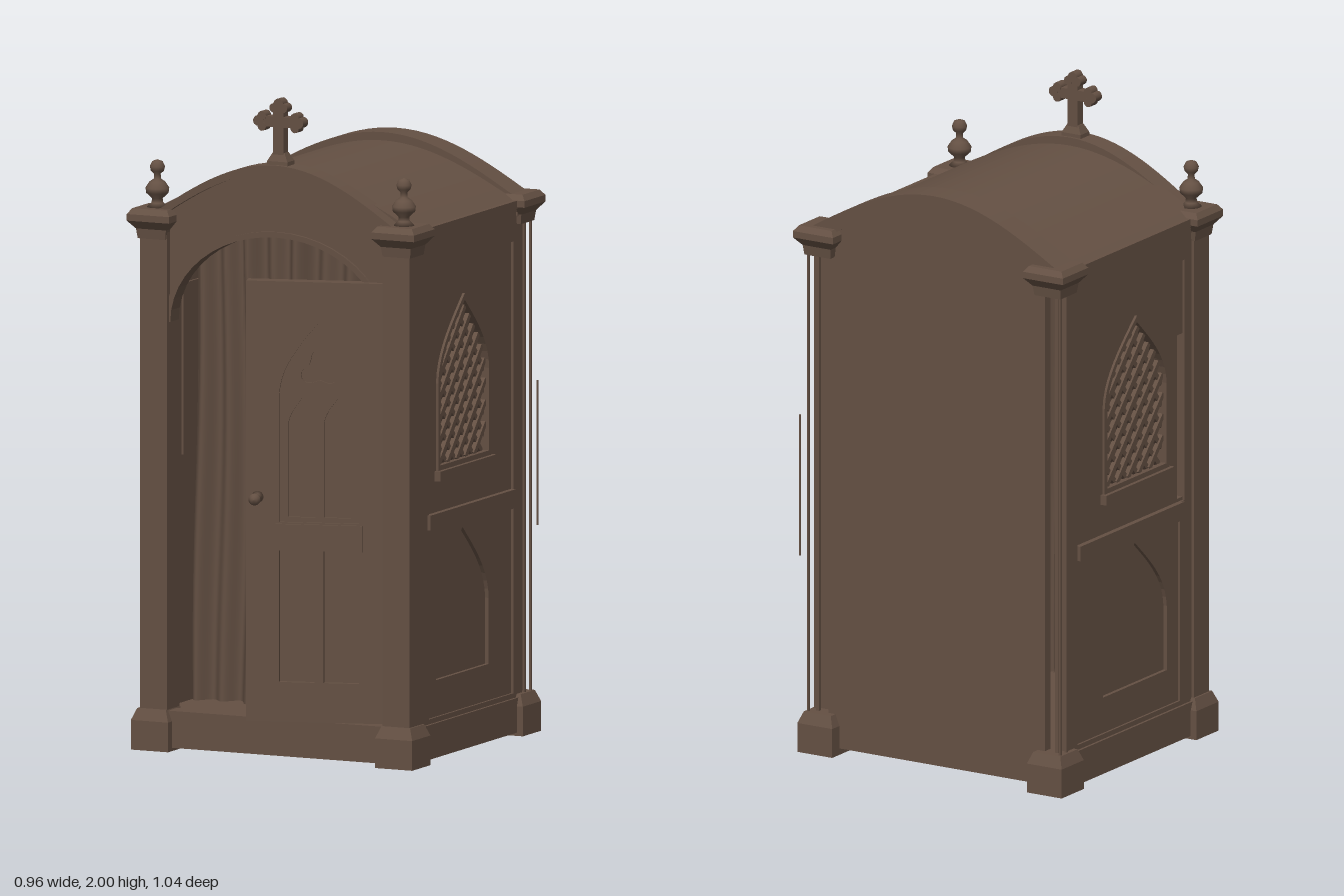
import * as THREE from 'three';

const wood = new THREE.MeshStandardMaterial({ color: 0x645043 });
wood.name = 'brown wood';
const cloth = wood.clone();
cloth.name = 'brown cloth';
cloth.side = THREE.DoubleSide;

function add(parent, name, geo, x = 0, y = 0, z = 0, mat = wood) {
  const m = new THREE.Mesh(geo, mat);
  m.name = name;
  m.position.set(x, y, z);
  parent.add(m);
  return m;
}
// box given by its min and max on each axis
function box(parent, name, x0, x1, y0, y1, z0, z1) {
  return add(parent, name, new THREE.BoxGeometry(x1 - x0, y1 - y0, z1 - z0),
    (x0 + x1) / 2, (y0 + y1) / 2, (z0 + z1) / 2);
}
const shapeOf = (pts, C = THREE.Shape) => new C(pts.map(p => new THREE.Vector2(p[0], p[1])));
const extrude = (shape, depth, bevel = 0) => new THREE.ExtrudeGeometry(shape, {
  depth, bevelEnabled: bevel > 0, bevelSize: bevel, bevelThickness: bevel, bevelSegments: 1, curveSegments: 12,
});
const rect = (x0, x1, y0, y1) => [[x0, y0], [x1, y0], [x1, y1], [x0, y1]];

// pointed arch outline
function lancet(cx, w, y0, spring, top) {
  const half = [];
  for (let i = 0; i <= 10; i++) {
    const t = i / 10;
    half.push([w * Math.cos(t * Math.PI / 2) * (1 - 0.12 * t), spring + (top - spring) * Math.pow(t, 0.92)]);
  }
  const left = half.slice(0, -1).reverse().map(p => [cx - p[0], p[1]]);
  return [[cx - w, y0], [cx + w, y0], ...half.map(p => [cx + p[0], p[1]]), ...left];
}
// curve of the vaulted top
function vault(w, base, rise, n = 28) {
  const pts = [];
  for (let i = 0; i <= n; i++) {
    const x = w - 2 * w * i / n;
    pts.push([x, base + rise * Math.cos(Math.PI / 2 * x / w)]);
  }
  return pts;
}
const band = (w, base, rise, t) => shapeOf([...vault(w, base, rise), ...vault(w, base - t, rise).reverse()]);
// square profile flaring from one half width to another
function flare(sections) {
  const g = new THREE.LatheGeometry(sections.map(p => new THREE.Vector2(p[0] * Math.SQRT2, p[1])), 4);
  g.rotateY(Math.PI / 4);
  const flat = g.toNonIndexed();
  flat.computeVertexNormals();
  return flat;
}

function sideWall(s) {
  const g = new THREE.Group();
  g.name = s > 0 ? 'leftSide' : 'rightSide';
  // outlines use u along the wall; extrusion runs outwards to x
  const panel = (name, shape, from, depth) => {
    const geo = extrude(shape, depth);
    geo.rotateY(s * Math.PI / 2);
    return add(g, name, geo, s * from, 0, 0);
  };
  const U = (z0, z1) => [Math.min(-s * z0, -s * z1), Math.max(-s * z0, -s * z1)];
  const R = (z0, z1, y0, y1) => rect(...U(z0, z1), y0, y1);
  const c = s * 0.04;

  const wall = shapeOf(R(0.3, -0.43, 0.08, 1.6));
  wall.holes.push(shapeOf(lancet(c, 0.17, 0.885, 1.14, 1.375), THREE.Path));
  wall.holes.push(shapeOf(lancet(c, 0.178, 0.24, 0.44, 0.68), THREE.Path));
  if (s < 0) wall.holes.push(shapeOf(R(0.195, 0.225, 0.76, 1.27), THREE.Path));
  panel('sideWall', wall, 0.405, 0.03);
  panel('lowerArchPanel', shapeOf(R(0.16, -0.26, 0.2, 0.7)), 0.405, 0.018);
  panel('windowBack', shapeOf(R(0.16, -0.26, 0.87, 1.39)), 0.398, 0.008);

  // raised frame with an upper and a lower field
  const frame = shapeOf(R(0.3, -0.43, 0.1, 1.58));
  frame.holes.push(shapeOf(R(0.2, -0.37, 0.13, 0.69), THREE.Path));
  frame.holes.push(shapeOf(R(s < 0 ? 0.225 : 0.2, -0.37, 0.75, 1.5), THREE.Path));
  panel('sideFrame', frame, 0.43, 0.012);
  panel('middleRail', shapeOf(R(0.21, -0.37, 0.705, 0.75)), 0.43, 0.022);
  panel('windowSill', shapeOf(R(0.15, -0.23, 0.845, 0.875)), 0.43, 0.025);

  // window moulding
  const rim = shapeOf(lancet(c, 0.18, 0.875, 1.14, 1.39));
  rim.holes.push(shapeOf(lancet(c, 0.165, 0.89, 1.14, 1.37), THREE.Path));
  panel('windowMoulding', rim, 0.425, 0.018);

  // diamond lattice, each bar cut to the window outline
  const inside = (u, y) => {
    const t = Math.max(0, (y - 1.14) / 0.235);
    return y > 0.885 && t < 1 && Math.abs(u) < 0.17 * Math.cos(t * Math.PI / 2) * (1 - 0.12 * t);
  };
  for (const d of [-1, 1]) {
    for (let k = -6; k <= 6; k++) {
      let a = null, b = null;
      for (let v = -0.35; v < 0.35; v += 0.004) {
        const u = v, y = 1.12 + d * v * 1.1 + k * 0.066;
        if (inside(u, y)) { a = a || [u, y]; b = [u, y]; }
      }
      if (!a || b[0] - a[0] < 0.02) continue;
      const len = Math.hypot(b[0] - a[0], b[1] - a[1]);
      const geo = new THREE.BoxGeometry(len, 0.016, 0.014);
      geo.rotateZ(Math.atan2(b[1] - a[1], b[0] - a[0]));
      geo.translate((a[0] + b[0]) / 2 + c, (a[1] + b[1]) / 2, 0);
      geo.rotateY(s * Math.PI / 2);
      add(g, 'latticeBar', geo, s * (0.422 + d * 0.003), 0, 0);
    }
  }
  // base rail and cornice
  panel('sideBaseRail', shapeOf(R(0.3, -0.44, 0.01, 0.115)), 0.385, 0.065);
  panel('sideCornice', shapeOf(R(0.3, -0.44, 1.575, 1.6)), 0.39, 0.055);
  panel('sideCorniceTop', shapeOf(R(0.3, -0.44, 1.6, 1.625)), 0.39, 0.065);
  return g;
}

function makeDoor() {
  const g = new THREE.Group();
  g.name = 'door';
  const w = 0.43;
  const face = shapeOf(rect(0, w, 0.13, 1.465));
  face.holes.push(shapeOf(lancet(0.222, 0.122, 0.735, 1.12, 1.345), THREE.Path));
  face.holes.push(shapeOf(rect(0.1, 0.208, 0.25, 0.65), THREE.Path));
  face.holes.push(shapeOf(rect(0.236, 0.344, 0.25, 0.65), THREE.Path));
  add(g, 'doorFace', extrude(face, 0.018), 0, 0, -0.018);
  box(g, 'doorSlab', 0, w, 0.13, 1.465, -0.045, -0.017);
  // tracery: two small arches under a trefoil
  const tracery = shapeOf(lancet(0.222, 0.122, 0.735, 1.12, 1.345));
  for (const u of [0.168, 0.276]) tracery.holes.push(shapeOf(lancet(u, 0.041, 0.75, 1.03, 1.11), THREE.Path));
  const foil = [];
  for (let i = 0; i < 36; i++) {
    const a = i / 36 * Math.PI * 2, r = 0.048 + 0.014 * Math.cos(3 * (a - Math.PI / 2));
    foil.push([0.222 + r * Math.cos(a), 1.2 + r * Math.sin(a)]);
  }
  tracery.holes.push(shapeOf(foil, THREE.Path));
  add(g, 'doorTracery', extrude(tracery, 0.01), 0, 0, -0.018);
  box(g, 'doorCrossRail', 0.09, 0.355, 0.65, 0.73, -0.01, 0.008);
  const knob = new THREE.LatheGeometry([[0, 0], [0.018, 0], [0.01, 0.012], [0.009, 0.038], [0.017, 0.046],
    [0.018, 0.058], [0.01, 0.068], [0, 0.07]].map(p => new THREE.Vector2(...p)), 16);
  knob.rotateX(Math.PI / 2);
  add(g, 'doorKnob', knob, 0.035, 0.81, 0);
  g.position.set(-0.04, 0, 0.463);
  g.rotation.y = 0.285;
  return g;
}

export function createModel() {
  const g = new THREE.Group();
  g.name = 'booth';

  for (const s of [-1, 1]) {
    g.add(sideWall(s));
    // front corner post, corner feet and capitals
    box(g, 'frontPost', s * 0.405 - 0.045, s * 0.405 + 0.045, 0.1, 1.58, 0.265, 0.35);
    for (const z of [0.31, -0.44]) {
      add(g, 'cornerFoot', flare([[0, 0], [0.062, 0], [0.062, 0.09], [0.048, 0.125], [0, 0.125]]), s * 0.408, 0, z);
      add(g, 'capital', flare([[0, 1.55], [0.046, 1.55], [0.05, 1.58], [0.071, 1.605], [0.071, 1.625], [0.058, 1.642], [0, 1.642]]),
        s * 0.409, 0, z);
    }
    // slender strips at the open rear corners
    for (const [x, z, t] of [[0.448, -0.475, 0.007], [0.425, -0.455, 0.01], [0.445, -0.437, 0.008]])
      box(g, 'rearCornerStrip', s * x - t / 2, s * x + t / 2, 0.12, 1.57, z - t / 2, z + t / 2);
    // urn finial
    const urn = [[0, 1.63], [0.034, 1.64], [0.018, 1.655], [0.016, 1.668], [0.034, 1.685], [0.036, 1.7], [0.024, 1.718],
      [0.011, 1.727], [0.01, 1.742], [0.02, 1.752], [0.023, 1.765], [0.016, 1.78], [0, 1.786]];
    add(g, 'finial', new THREE.LatheGeometry(urn.map(p => new THREE.Vector2(...p)), 20), s * 0.412, 0, 0.31);
  }
  box(g, 'looseSplinter', 0.446, 0.451, 0.62, 1.06, -0.522, -0.518);

  // base and floor
  box(g, 'frontBaseRail', -0.4, 0.4, 0.01, 0.122, 0.285, 0.345);
  box(g, 'floor', -0.4, 0.4, 0.09, 0.12, -0.45, 0.3);

  // back wall with vaulted top
  add(g, 'backWall', extrude(shapeOf([[-0.385, 0.02], [0.385, 0.02], ...vault(0.385, 1.62, 0.14)]), 0.03), 0, 0, -0.462);

  // vaulted roof and its end mouldings
  add(g, 'roof', extrude(band(0.45, 1.62, 0.155, 0.03), 0.7), 0, 0, -0.4);
  add(g, 'rearRoofMoulding', extrude(band(0.45, 1.63, 0.17, 0.055), 0.095), 0, 0, -0.478);
  add(g, 'frontRoofMoulding', extrude(band(0.42, 1.62, 0.18, 0.025), 0.07), 0, 0, 0.277);

  // front gable with arched opening
  const opening = [];
  for (let i = 0; i <= 24; i++) {
    const a = Math.PI * i / 24;
    opening.push([-0.355 * Math.cos(a), 1.3 + 0.28 * Math.sin(a)]);
  }
  const gable = shapeOf([[-0.38, 1.3], ...opening, [0.38, 1.3], ...vault(0.4, 1.61, 0.175)]);
  add(g, 'frontGable', extrude(gable, 0.05), 0, 0, 0.28);
  const trim = opening.map(p => [p[0] * 1.05, 1.3 + (p[1] - 1.3) * 1.06]);
  add(g, 'openingTrim', extrude(shapeOf([...opening, ...trim.reverse()]), 0.008), 0, 0, 0.33);

  // pleated curtain
  const curtain = new THREE.PlaneGeometry(0.68, 1.45, 110, 12);
  const p = curtain.attributes.position;
  for (let i = 0; i < p.count; i++) {
    const x = p.getX(i), y = p.getY(i);
    const sway = x + 0.012 * Math.sin(y * 3 + x * 9);
    p.setZ(i, 0.022 * Math.sin(sway * 75) + 0.01 * Math.sin(sway * 41 + 1));
  }
  curtain.computeVertexNormals();
  add(g, 'curtain', curtain, 0, 0.865, 0.205, cloth);

  g.add(makeDoor());

  // cross with trefoil ends
  const cross = new THREE.Group();
  cross.name = 'cross';
  add(cross, 'crossFoot', flare([[0, 1.775], [0.036, 1.775], [0.034, 1.81], [0.02, 1.835], [0, 1.835]]), 0, 0, 0).scale.z = 0.7;
  box(cross, 'crossStem', -0.017, 0.017, 1.82, 1.98, -0.016, 0.016);
  box(cross, 'crossArm', -0.065, 0.065, 1.913, 1.945, -0.016, 0.016);
  const lobe = (x, y, r) => add(cross, 'crossLobe', new THREE.CylinderGeometry(r, r, 0.034, 14).rotateX(Math.PI / 2), x, y, 0);
  for (const [dx, dy] of [[1, 0], [-1, 0], [0, 1]]) {
    const cx = dx * 0.055, cy = 1.929 + dy * 0.042;
    lobe(cx + dx * 0.013, cy + dy * 0.013, 0.016);
    lobe(cx + dy * 0.016, cy + dx * 0.016, 0.014);
    lobe(cx - dy * 0.016, cy - dx * 0.016, 0.014);
  }
  cross.position.z = 0.31;
  g.add(cross);

  return g;
}
